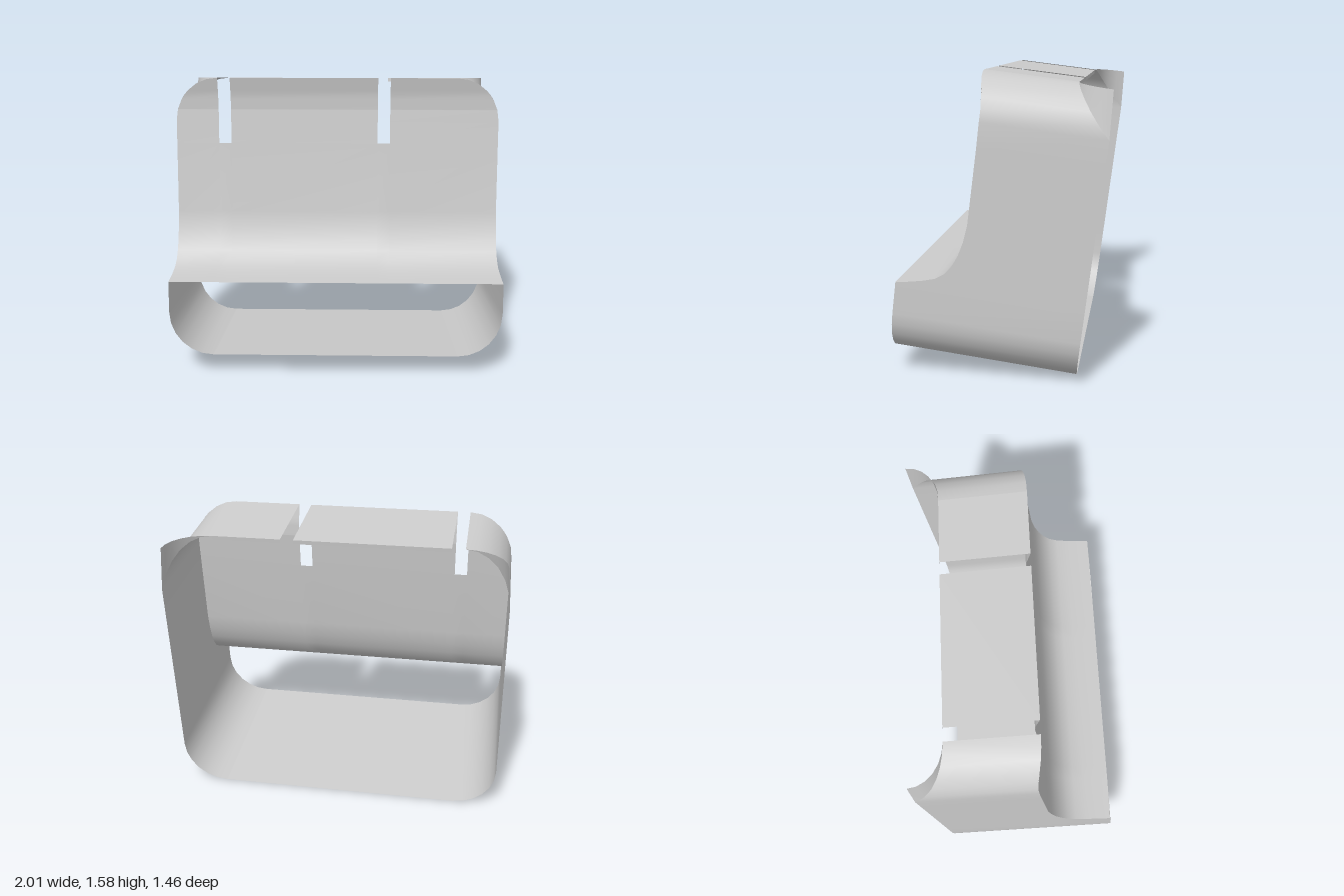
import * as THREE from 'three';

const HALF = 0.91, R = 0.24, FLAT = HALF - R;      // half width, corner radius, flat half width
const BOTTOM = 0.048, TOP = 1.555;
const FRONT = 0.583, BACK = -0.383, TOP_BACK = -0.19;
const SLOT_BOTTOM = 1.188;
const CUTS = [-0.67, -0.6, 0.23, 0.3];             // slot edges across the width
const STEPS = 6;

// Side profile of the front wall as [height, depth]: lip, scoop, upright, flared top
const PROFILE = [
  [0.455, FRONT], [0.466, 0.52], [0.482, 0.45], [0.503, 0.385], [0.535, 0.34], [0.58, 0.306],
  [0.64, 0.28], [0.71, 0.262], [0.8, 0.25], [SLOT_BOTTOM, 0.248], [1.38, 0.25], [1.46, 0.262], [TOP, 0.292],
];

function frontDepth(y) {
  if (y <= PROFILE[0][0]) return FRONT;
  for (let i = 1; i < PROFILE.length; i++) {
    const [y0, d0] = PROFILE[i - 1], [y1, d1] = PROFILE[i];
    if (y <= y1) return d0 + (d1 - d0) * (y - y0) / (y1 - y0);
  }
  return PROFILE[PROFILE.length - 1][1];
}

const material = new THREE.MeshStandardMaterial({ color: 0xcccccc, side: THREE.DoubleSide });

// Sheet through rows of points; skip(row, column) leaves a cell open
function sheet(name, rows, skip = () => false) {
  const n = rows[0].length, index = [];
  for (let r = 0; r < rows.length - 1; r++) {
    for (let c = 0; c < n - 1; c++) {
      if (skip(r, c)) continue;
      const a = r * n + c, b = a + 1, d = a + n, e = d + 1;
      index.push(a, b, e, a, e, d);
    }
  }
  const g = new THREE.BufferGeometry();
  g.setAttribute('position', new THREE.Float32BufferAttribute(rows.flat(2), 3));
  g.setIndex(index);
  g.computeVertexNormals();
  const mesh = new THREE.Mesh(g, material);
  mesh.name = name;
  return mesh;
}

// Quarter-round points [x, y, s], s running 0..1 from the side to the flat
function corner(cy, up) {
  return Array.from({ length: STEPS + 1 }, (_, i) => {
    const s = i / STEPS, a = s * Math.PI / 2;
    return [FLAT + R * Math.cos(a), cy + up * R * Math.sin(a), s];
  });
}

export function createModel() {
  const group = new THREE.Group();
  group.name = 'holder';
  const body = new THREE.Group();
  body.name = 'tiltedBody';
  body.rotation.set(-0.122, 0.2136, 0, 'YXZ');
  group.add(body);

  const topCorner = corner(TOP - R, 1), bottomCorner = corner(BOTTOM + R, -1);

  // Front wall with scooped lip, rounded top corners and two open slots
  const heights = [...PROFILE.map(p => p[0]), ...topCorner.map(p => p[1])]
    .sort((a, b) => a - b).filter((y, i, all) => i === 0 || y - all[i - 1] > 1e-4);
  const wallRows = heights.map(y => {
    const k = Math.max(0, y - (TOP - R));
    const w = FLAT + Math.sqrt(Math.max(0, R * R - k * k));
    return [-w, ...CUTS, w].map(x => [x, y, frontDepth(y)]);
  });
  body.add(sheet('frontWall', wallRows,
    (r, c) => (c === 1 || c === 3) && heights[r] >= SLOT_BOTTOM - 1e-4));

  // Outline of one half of the shell, from the bottom flat up to the top flat
  const outline = [
    ...bottomCorner.slice().reverse().map(([x, y]) => [x, y, BACK]),
    ...PROFILE.filter(p => p[0] < TOP - R).map(p => [HALF, p[0], BACK]),
    ...topCorner.map(([x, y, s]) => [x, y, TOP_BACK + (BACK - TOP_BACK) * (1 - s) ** 2]),
  ];
  for (const side of [-1, 1]) {
    const label = side > 0 ? 'left' : 'right';
    body.add(sheet(label + 'Side', outline.map(([x, y, back]) =>
      [[side * x, y, frontDepth(y)], [side * x, y, back]])));

    // Pointed ear bridging the rounded corner and the flat top plane
    const ear = topCorner.map(([x, y, s]) => {
      const a = (1 - s) * Math.PI / 2;
      return [
        [side * x, y, TOP_BACK + (BACK - TOP_BACK) * (1 - s) ** 2],
        [side * (FLAT + 0.22 * Math.sin(a)), TOP, TOP_BACK - 0.18 * (1 - Math.cos(a))],
      ];
    });
    body.add(sheet(label + 'Ear', ear));
  }

  // Floor
  body.add(sheet('floor', [-FLAT, FLAT].map(x => [[x, BOTTOM, FRONT], [x, BOTTOM, BACK]])));

  // Top panels between the slots, each with a small flange along the back
  const panels = [[CUTS[1], CUTS[2]], [CUTS[3], FLAT]];
  const topFront = frontDepth(TOP);
  for (const [a, b] of panels) {
    body.add(sheet('topPanel', [a, b].map(x => [[x, TOP, topFront], [x, TOP, TOP_BACK]])));
    body.add(sheet('topFlange', [a, b].map(x => [[x, TOP, TOP_BACK], [x, TOP - 0.022, TOP_BACK]])));
  }
  return group;
}
